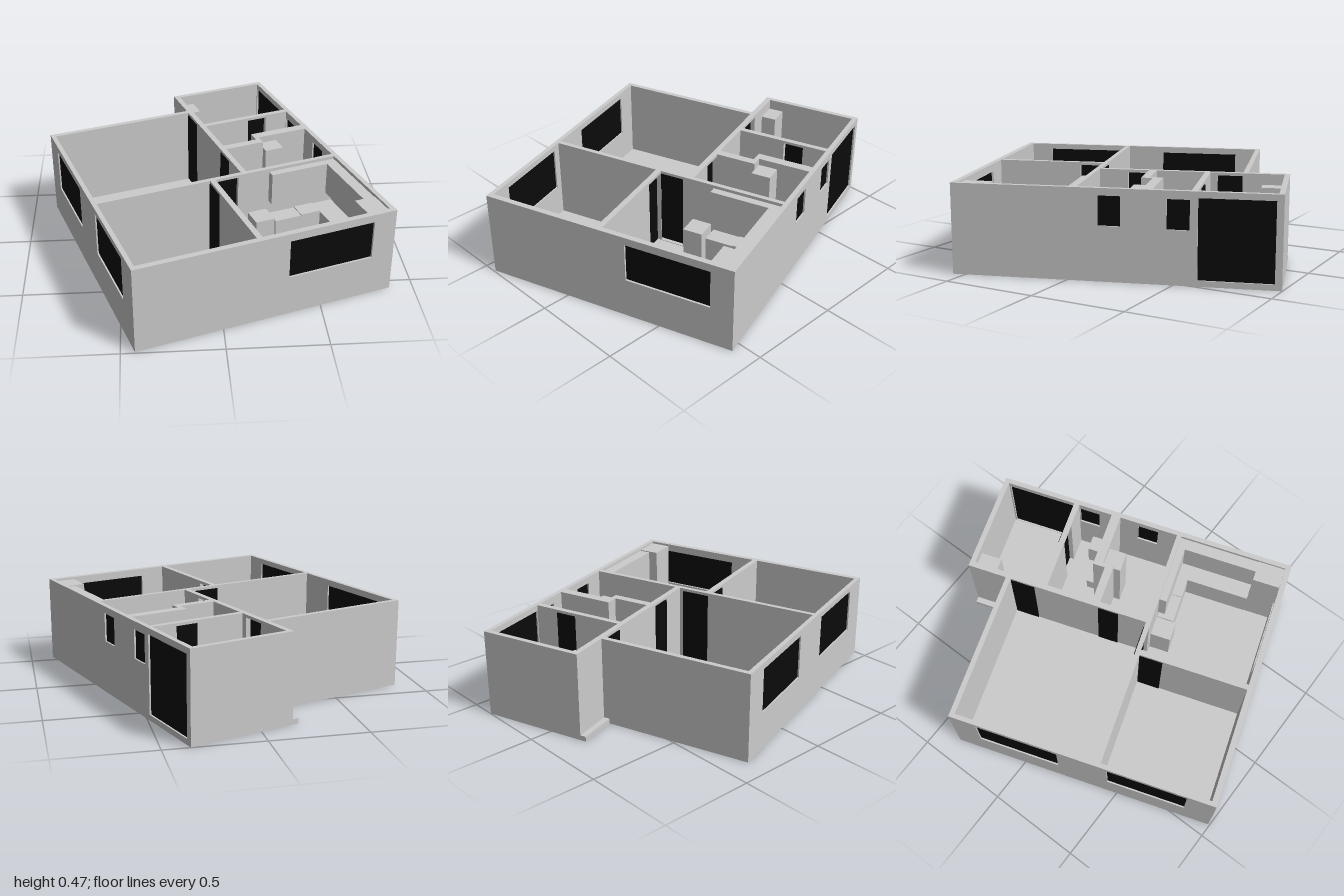
import * as THREE from 'three';

const FLOOR = 0.027, TOP = 0.467;
const grey = new THREE.MeshStandardMaterial({ color: 0xcccccc, flatShading: true });
const black = new THREE.MeshStandardMaterial({ color: 0x0a0a0a });

// Box given by its limits on each axis
function box(parent, name, [x0, x1], [y0, y1], [z0, z1], material = grey) {
  const mesh = new THREE.Mesh(new THREE.BoxGeometry(x1 - x0, y1 - y0, z1 - z0), material);
  mesh.position.set((x0 + x1) / 2, (y0 + y1) / 2, (z0 + z1) / 2);
  mesh.name = name;
  parent.add(mesh);
}

// Wall along x or z with openings; each opening gets a dark panel
function wall(parent, name, axis, [t0, t1], [s0, s1], openings = []) {
  const group = new THREE.Group();
  group.name = name;
  const shape = new THREE.Shape([[s0, FLOOR], [s1, FLOOR], [s1, TOP], [s0, TOP]].map(p => new THREE.Vector2(...p)));
  for (const { s: [a, b], y: [c, d], door } of openings) {
    shape.holes.push(new THREE.Path([[a, c], [a, d], [b, d], [b, c]].map(p => new THREE.Vector2(...p))));
    const mid = (t0 + t1) / 2;
    const t = door ? [t0 - 0.005, t0 + 0.005] : [mid - 0.004, mid + 0.004];
    const panelName = door ? 'doorPanel' : 'windowPane';
    if (axis === 'x') box(group, panelName, [a, b], [c, d], t, black);
    else box(group, panelName, t, [c, d], [a, b], black);
  }
  const geometry = new THREE.ExtrudeGeometry(shape, { depth: t1 - t0, bevelEnabled: false });
  if (axis === 'x') geometry.translate(0, 0, t0);
  else geometry.rotateY(-Math.PI / 2).translate(t1, 0, 0);
  const mesh = new THREE.Mesh(geometry, grey);
  mesh.name = name + 'Body';
  group.add(mesh);
  parent.add(group);
}

const opening = (a, b, c, d) => ({ s: [a, b], y: [c, d] });
const door = (a, b) => ({ s: [a, b], y: [0.03, 0.452], door: true });

export function createModel() {
  const model = new THREE.Group();
  model.name = 'house';
  const plan = new THREE.Group();
  plan.name = 'floorPlan';
  plan.rotation.y = 0.3185;
  model.add(plan);

  // Floor slab with a notch at the back
  const outline = [[-0.72, 0.807], [0.658, 0.807], [0.658, -0.835], [0.064, -0.835], [0.064, -0.621], [-0.72, -0.621]];
  const slab = new THREE.ExtrudeGeometry(
    new THREE.Shape(outline.map(([x, z]) => new THREE.Vector2(x, -z))), { depth: FLOOR, bevelEnabled: false });
  const floor = new THREE.Mesh(slab.rotateX(-Math.PI / 2), grey);
  floor.name = 'floor';
  plan.add(floor);

  // Outer walls
  wall(plan, 'leftSideWall', 'z', [0.632, 0.658], [-0.835, 0.807], [
    opening(-0.8, -0.429, 0.03, 0.435), opening(-0.39, -0.278, 0.275, 0.425), opening(-0.052, 0.061, 0.28, 0.43)]);
  wall(plan, 'rightSideWall', 'z', [-0.72, -0.696], [-0.621, 0.807], [
    opening(-0.476, -0.038, 0.2, 0.433), opening(0.233, 0.655, 0.203, 0.437)]);
  wall(plan, 'frontWall', 'x', [0.777, 0.807], [-0.696, 0.632], [opening(0.079, 0.536, 0.217, 0.425)]);
  wall(plan, 'mainRoomBackWall', 'x', [-0.621, -0.594], [-0.696, 0.096]);
  wall(plan, 'entryBackWall', 'x', [-0.835, -0.808], [0.126, 0.632]);

  // Inner walls
  wall(plan, 'spineWall', 'z', [0.096, 0.126], [-0.835, 0.168], [door(-0.592, -0.46), door(-0.098, 0.014)]);
  wall(plan, 'crossWall', 'x', [0.168, 0.193], [-0.696, 0.632], [door(-0.08, 0.072)]);
  wall(plan, 'frontDividingWall', 'z', [-0.087, -0.057], [0.193, 0.777], [door(0.195, 0.32)]);
  wall(plan, 'bathBackWall', 'x', [-0.425, -0.395], [0.126, 0.632], [door(0.389, 0.501)]);
  wall(plan, 'bathWallNear', 'x', [-0.14, -0.097], [0.126, 0.347]);
  wall(plan, 'bathWallJog', 'z', [0.323, 0.347], [-0.157, -0.14]);
  wall(plan, 'bathWallFar', 'x', [-0.207, -0.157], [0.323, 0.632]);

  // Wardrobe and bathroom fittings
  box(plan, 'entryWardrobe', [0.126, 0.209], [FLOOR, 0.41], [-0.808, -0.695]);
  box(plan, 'toilet', [0.363, 0.468], [FLOOR, 0.11], [-0.265, -0.207]);
  box(plan, 'washstand', [0.529, 0.612], [FLOOR, 0.17], [-0.312, -0.207]);
  box(plan, 'tallCupboard', [0.347, 0.453], [FLOOR, 0.43], [-0.157, -0.06]);

  // Kitchen: lower units, wall cupboards and corner cabinet
  box(plan, 'kitchenUnit', [0.131, 0.238], [FLOOR, 0.225], [0.193, 0.303]);
  box(plan, 'backCounter', [0.253, 0.405], [FLOOR, 0.195], [0.193, 0.285]);
  box(plan, 'stove', [0.405, 0.517], [FLOOR, 0.2], [0.193, 0.285]);
  box(plan, 'sideCounter', [0.517, 0.632], [FLOOR, 0.195], [0.193, 0.632]);
  box(plan, 'backWallCupboard', [0.25, 0.572], [0.272, 0.45], [0.193, 0.233]);
  box(plan, 'sideWallCupboard', [0.572, 0.632], [0.272, 0.45], [0.193, 0.632]);
  box(plan, 'cornerCabinet', [0.519, 0.632], [FLOOR, 0.455], [0.632, 0.777]);

  return model;
}
